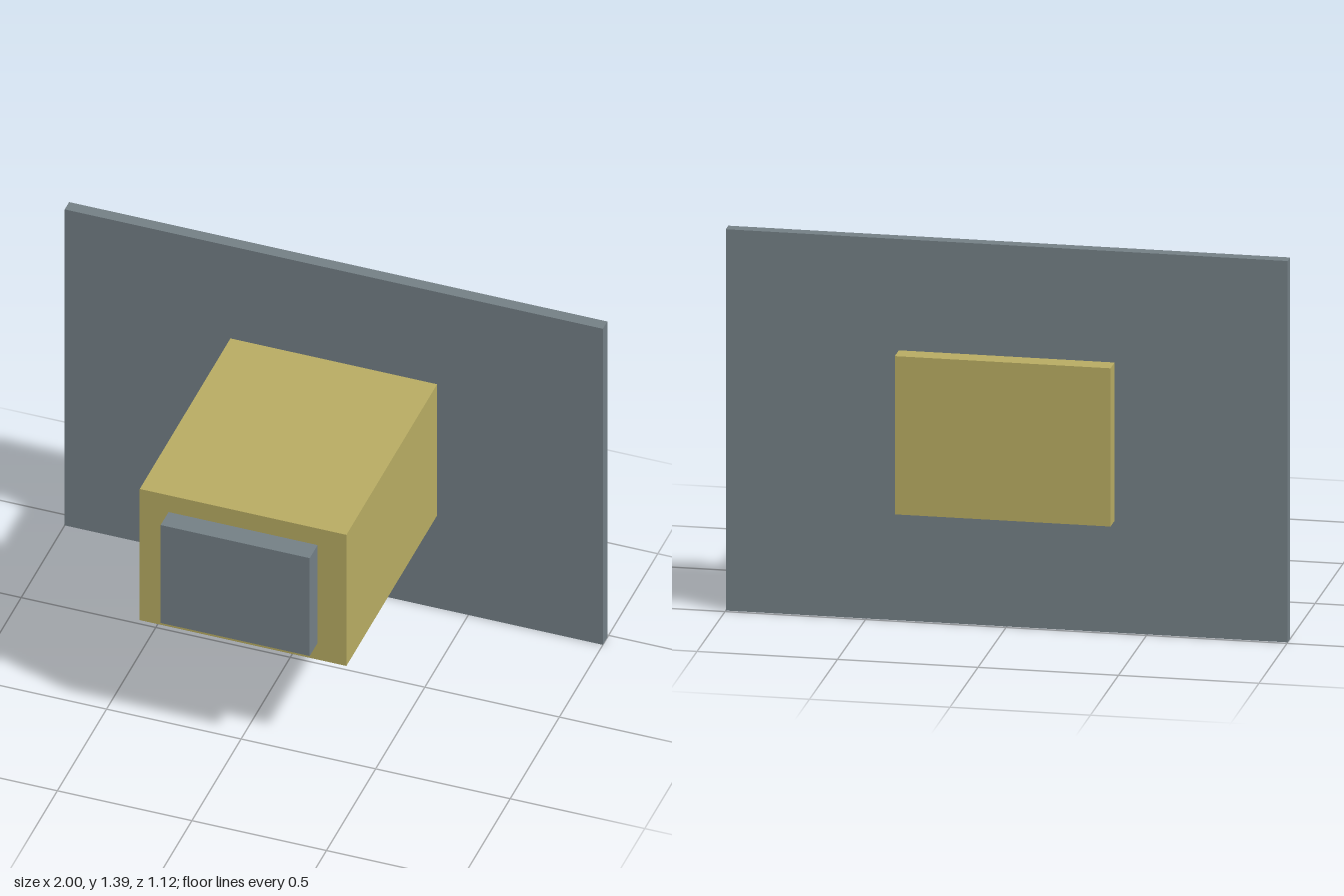
import * as THREE from 'three';

export function createModel() {
  const model = new THREE.Group();
  const material = (name, color) => {
    const m = new THREE.MeshStandardMaterial({ color });
    m.name = name;
    return m;
  };
  const olive = material('olive', 0xb7ab62);
  const slate = material('slate grey', 0x737f85);
  const pale = material('pale grey', 0xb9b7b1);

  // Box centred on x, given its half width and its y and z limits
  const box = (name, mat, halfWidth, y0, y1, z0, z1) => {
    const mesh = new THREE.Mesh(new THREE.BoxGeometry(halfWidth * 2, y1 - y0, z1 - z0), mat);
    mesh.position.set(0, (y0 + y1) / 2, (z0 + z1) / 2);
    mesh.name = name;
    model.add(mesh);
  };

  // Wall panel with the housing passing through it
  box('wallPanel', slate, 1, 0, 1.388, -0.487, -0.442);
  box('housing', olive, 0.384, 0.407, 0.983, -0.56, 0.48);
  box('frontBlock', slate, 0.277, 0.48, 0.91, 0.48, 0.56);

  // Parts under the housing
  box('lowerLip', olive, 0.23, 0.388, 0.407, 0.34, 0.385);
  box('upperTray', pale, 0.21, 0.387, 0.4, -0.097, 0.172);
  box('lowerTray', pale, 0.21, 0.355, 0.374, -0.115, 0.115);

  return model;
}
